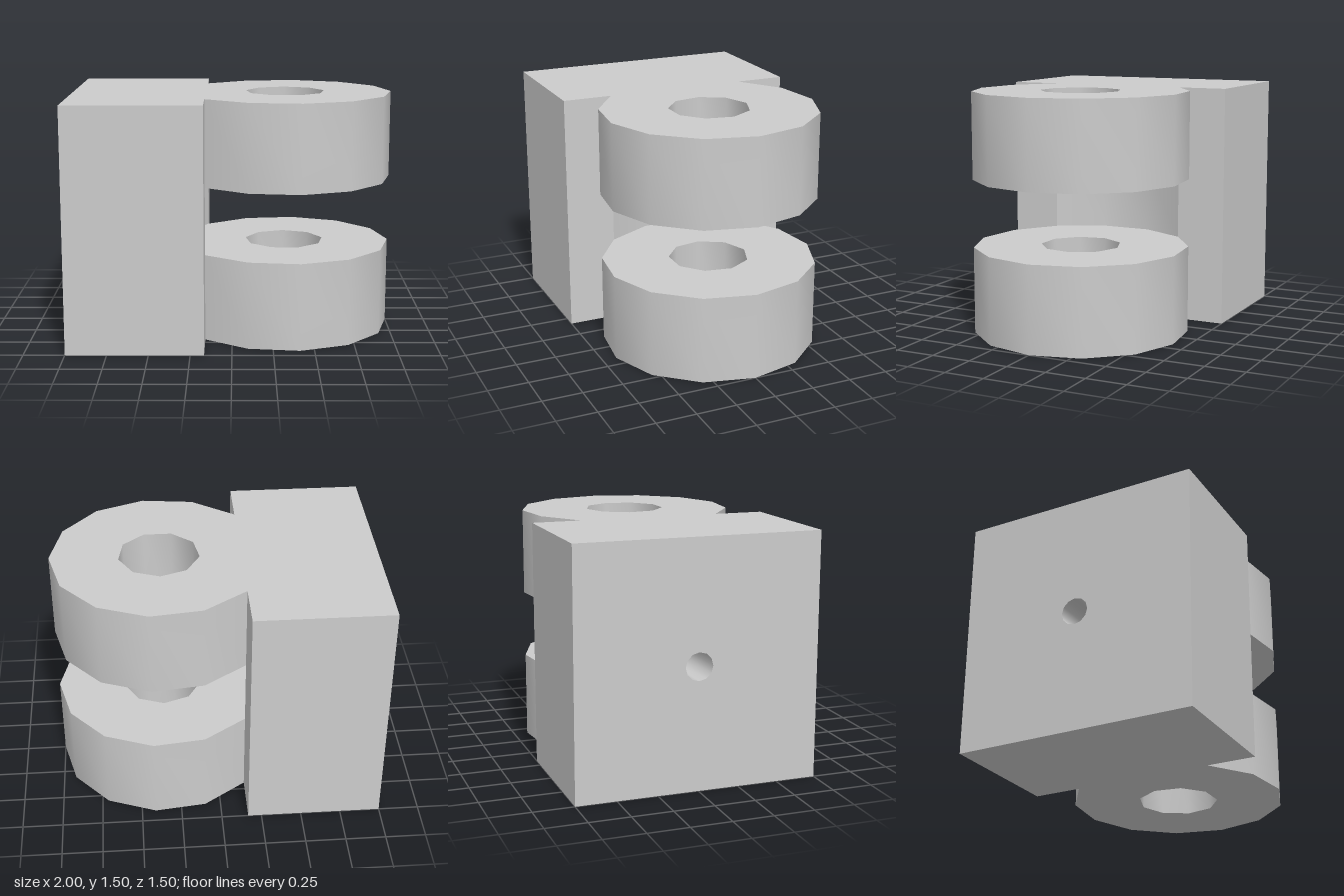
import * as THREE from 'three';
import { toCreasedNormals } from 'three/addons/utils/BufferGeometryUtils.js';

const H = 1.5, HALF = 0.75;      // block height and half depth
const SLOT = [0.54, 0.96];       // slot between the two lugs
const CX = 0.333, R = 0.667;     // lug centre and radius
const SIDES = 13, SEAM = -0.5;   // lug sides, plane where block and lugs join
const CREASE = 0.75;

const rim = (i) => {
  const a = (i / SIDES) * Math.PI * 2;
  return new THREE.Vector2(CX + R * Math.cos(a), R * Math.sin(a));
};
const FACE = rim(5).x, NECK = rim(5).y; // front face of the block, half width of the neck
const p = (x, y) => new THREE.Vector2(x, y);

function ring(cx, cy, r, n, start) {
  const pts = [];
  for (let i = 0; i < n; i++) {
    const a = start + (i / n) * Math.PI * 2;
    pts.push(p(cx + r * Math.cos(a), cy + r * Math.sin(a)));
  }
  return new THREE.Path(pts);
}

function extrude(shape, depth) {
  return new THREE.ExtrudeGeometry(shape, { depth, bevelEnabled: false });
}

// Extrudes a plan outline upwards from y0 to y1
function slab(shape, y0, y1) {
  return extrude(shape, y1 - y0).rotateX(-Math.PI / 2).translate(0, y0, 0);
}

export function createModel() {
  const group = new THREE.Group();
  const material = new THREE.MeshStandardMaterial({ color: 0xcccccc });
  const add = (name, geometry) => {
    const mesh = new THREE.Mesh(toCreasedNormals(geometry, CREASE), material);
    mesh.name = name;
    group.add(mesh);
  };

  // Rear of the block with a blind round hole in its outer face
  const back = new THREE.Shape([p(-HALF, 0), p(HALF, 0), p(HALF, H), p(-HALF, H)]);
  back.holes.push(ring(0, H / 2, 0.085, 12, 0));
  add('mountingBlock', extrude(back, 1 + SEAM).rotateY(-Math.PI / 2).translate(SEAM, 0, 0));

  // Lugs: rounded ends with a pin hole, joined to the block
  const outline = [p(SEAM, -HALF), p(FACE, -HALF)];
  for (let i = -5; i <= 5; i++) outline.push(rim(i));
  outline.push(p(FACE, HALF), p(SEAM, HALF));
  const lug = new THREE.Shape(outline);
  lug.holes.push(ring(CX, 0, 0.25, 9, Math.PI / 2));
  add('lowerLug', slab(lug, 0, SLOT[0]));
  add('upperLug', slab(lug, SLOT[1], H));

  // Concave pocket at the back of the slot
  const pocket = [p(SEAM, -NECK)];
  for (let i = 8; i >= 5; i--) pocket.push(rim(i));
  pocket.push(p(SEAM, NECK));
  add('slotPocket', slab(new THREE.Shape(pocket), SLOT[0], SLOT[1]));

  // Flat cheeks either side of the pocket
  for (const s of [-1, 1]) {
    const box = new THREE.BoxGeometry(FACE - SEAM, SLOT[1] - SLOT[0], HALF - NECK);
    box.translate((FACE + SEAM) / 2, H / 2, s * (HALF + NECK) / 2);
    add(s > 0 ? 'frontCheek' : 'rearCheek', box);
  }
  return group;
}
